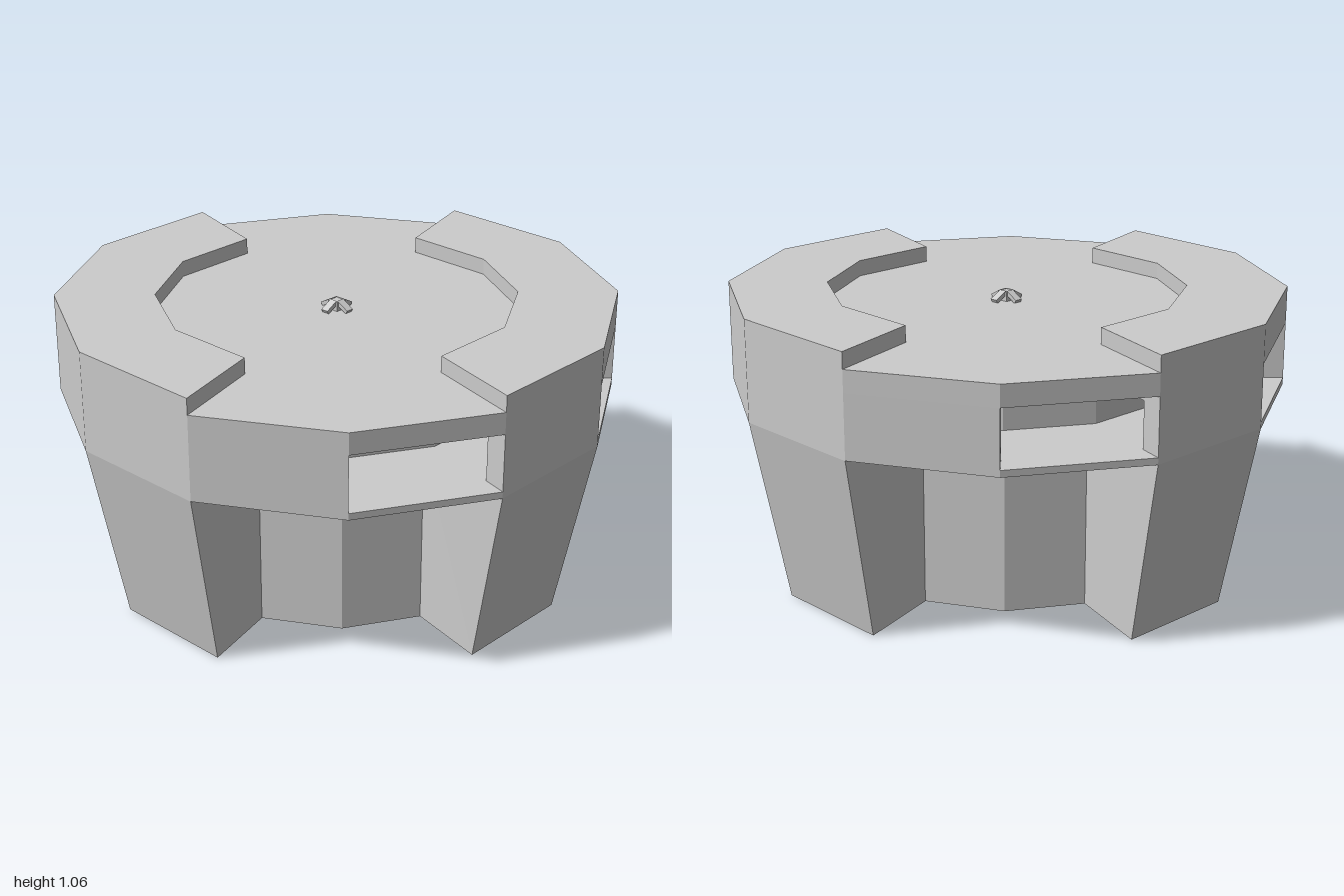
import * as THREE from 'three';

const material = new THREE.MeshStandardMaterial({ color: 0xcccccc, flatShading: true });

// Corner i of a twelve-sided plan with the given apothem, as [x, z]
function corner(i, apothem) {
  const a = THREE.MathUtils.degToRad(15 + 30 * i);
  const r = apothem / Math.cos(Math.PI / 12);
  return [0.983 * r * Math.sin(a), r * Math.cos(a)];
}

function ring(from, to, apothem) {
  const points = [];
  for (let i = from; i <= to; i++) points.push(corner(i, apothem));
  return points;
}

// Upright prism over a plan outline
function prism(points, y0, y1) {
  const shape = new THREE.Shape(points.map(([x, z]) => new THREE.Vector2(x, -z)));
  const geometry = new THREE.ExtrudeGeometry(shape, { depth: y1 - y0, bevelEnabled: false });
  return geometry.rotateX(-Math.PI / 2).translate(0, y0, 0);
}

export function createModel() {
  const group = new THREE.Group();
  const add = (name, geometry) => {
    const mesh = new THREE.Mesh(geometry, material);
    mesh.name = name;
    group.add(mesh);
    return mesh;
  };

  // Base: four tapering legs around a recessed upright core
  const outline = [];
  for (let q = 0; q < 4; q++) {
    outline.push(...ring(3 * q - 1, 3 * q, 1));
    outline.push(...ring(3 * q, 3 * q + 2, 0.56).map(([x, z]) => [x - 0.015, z + 0.01]));
  }
  const base = prism(outline, 0, 0.685);
  const pos = base.attributes.position;
  for (let i = 0; i < pos.count; i++) {
    const x = pos.getX(i), z = pos.getZ(i);
    if (pos.getY(i) < 0.1 && Math.hypot(x, z) > 0.8) pos.setXYZ(i, x * 0.87, 0, z * 0.87);
  }
  base.computeVertexNormals();
  add('leggedBase', base);

  // Hollow upper drum: floor, inner core and lid
  add('drumFloor', prism(ring(0, 11, 1), 0.685, 0.71));
  add('drumCore', prism(ring(0, 11, 0.62), 0.71, 0.92));
  add('drumLid', prism(ring(0, 11, 1), 0.92, 1.0));

  // Outer wall, left open at the four slots, with a lower ceiling behind it
  for (const [from, to] of [[-1, 0], [1, 4], [5, 6], [7, 10]]) {
    add('drumWall', prism([...ring(from, to, 1), ...ring(from, to, 0.91).reverse()], 0.71, 0.92));
    add('passageCeiling', prism([...ring(from, to, 0.91), ...ring(from, to, 0.62).reverse()], 0.88, 0.92));
  }

  // Two raised plates on opposite sides of the lid
  for (const start of [-1, 5]) {
    const plate = [...ring(start, start + 4, 1), ...ring(start, start + 4, 0.643).reverse()];
    add('raisedPlate', prism(plate, 1.0, 1.06));
  }

  // Small cross-shaped knob in the middle of the lid
  const hub = add('knobHub', new THREE.BoxGeometry(0.045, 0.035, 0.045));
  hub.position.y = 1.0175;
  for (let i = 0; i < 4; i++) {
    const arm = new THREE.BoxGeometry(0.03, 0.015, 0.055);
    arm.rotateX(0.5).translate(0, 1.018, 0.038).rotateY(i * Math.PI / 2);
    add('knobArm', arm);
  }

  return group;
}
